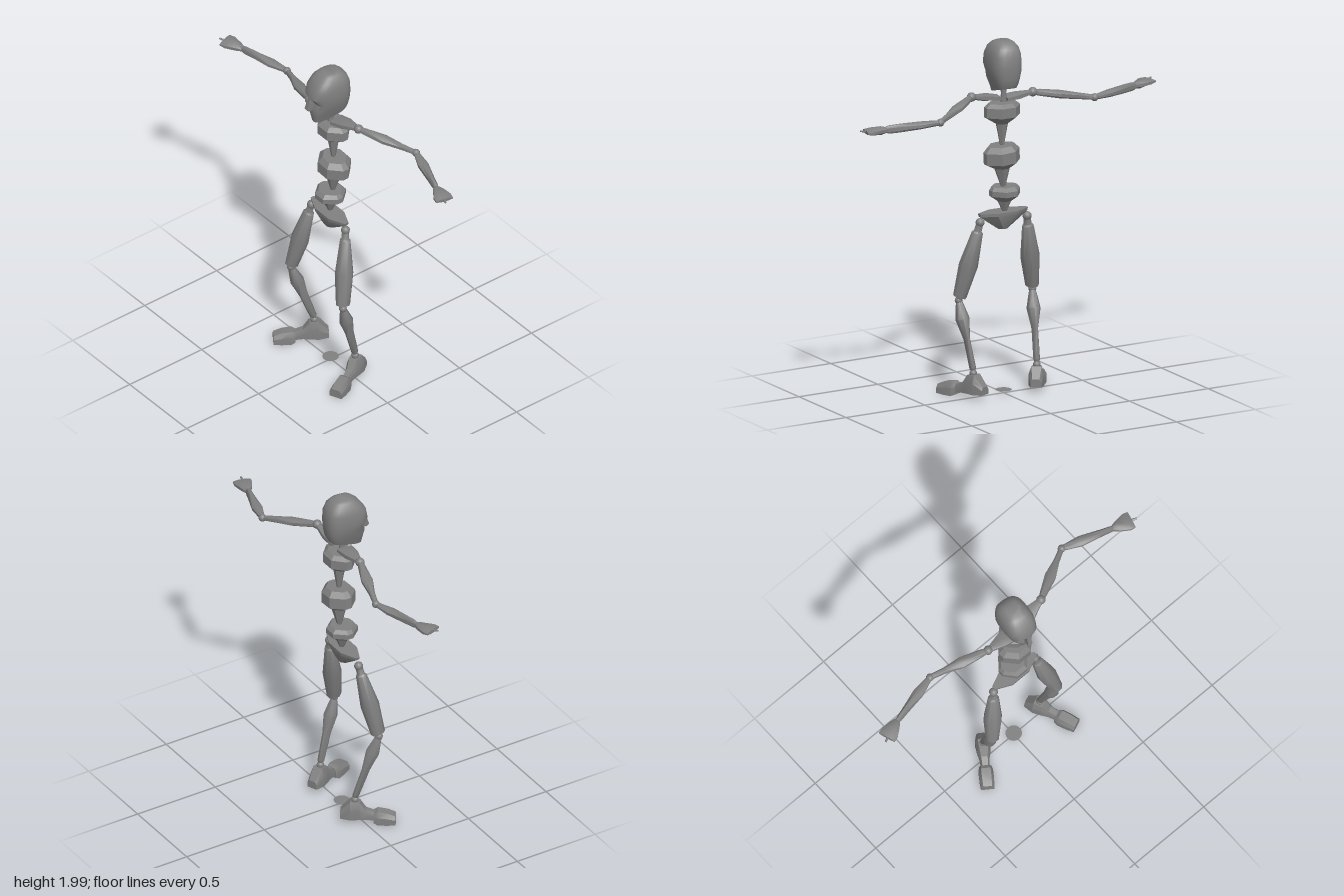
import * as THREE from 'three';
import { toCreasedNormals } from 'three/addons/utils/BufferGeometryUtils.js';

const V = (x, y, z) => new THREE.Vector3(x, y, z);
const grey = new THREE.MeshStandardMaterial({ color: 0x808080, side: THREE.DoubleSide });

// Closed skin through a stack of rings (each an array of points), capped at both ends
function loft(rings, crease = 0.45) {
  const n = rings[0].length, pos = [], idx = [];
  rings.forEach(r => r.forEach(p => pos.push(p.x, p.y, p.z)));
  for (let i = 0; i < rings.length - 1; i++) {
    for (let k = 0; k < n; k++) {
      const a = i * n + k, b = i * n + (k + 1) % n;
      idx.push(a, a + n, b, b, a + n, b + n);
    }
  }
  const top = (rings.length - 1) * n;
  for (let k = 1; k < n - 1; k++) {
    idx.push(0, k, k + 1, top, top + k + 1, top + k);
  }
  const g = new THREE.BufferGeometry();
  g.setAttribute('position', new THREE.Float32BufferAttribute(pos, 3));
  g.setIndex(idx);
  return toCreasedNormals(g, crease);
}

// Polygon ring with flat sides facing x and z; rx and rz are half extents
function ring(y, rx, rz, sides = 8, cz = 0) {
  const k = Math.cos(Math.PI / sides);
  return Array.from({ length: sides }, (_, i) => {
    const t = (i + 0.5) / sides * Math.PI * 2;
    return V(rx * Math.cos(t) / k, y, cz + rz * Math.sin(t) / k);
  });
}

// Eight-cornered ring with narrow ends, for the spine blocks and pelvis
const blockRing = ([y, w, d]) =>
  [[1, -0.22], [1, 0.22], [0.4, 1], [-0.4, 1], [-1, 0.22], [-1, -0.22], [-0.4, -1], [0.4, -1]]
    .map(([u, v]) => V(u * w, y, v * d));

function add(parent, name, geometry) {
  const m = new THREE.Mesh(geometry, grey);
  m.name = name;
  parent.add(m);
  return m;
}

// Limb segment from a to b; profile rows are [fraction, half width, half depth], ref is the depth axis
function bone(parent, name, a, b, ref, profile, sides = 8) {
  const d = b.clone().sub(a), len = d.length(), Y = d.normalize();
  const X = Y.clone().cross(ref).normalize(), Z = X.clone().cross(Y);
  const m = add(parent, name, loft(profile.map(([t, w, h]) => ring(t * len, w, h, sides)), 0.85));
  m.quaternion.setFromRotationMatrix(new THREE.Matrix4().makeBasis(X, Y, Z));
  m.position.copy(a);
}

function joint(parent, name, p, r) {
  add(parent, name, new THREE.SphereGeometry(r, 12, 8)).position.copy(p);
}

function makeHead() {
  const head = new THREE.Group();
  head.name = 'head';
  const soft = (v, e) => Math.sign(v) * Math.abs(v) ** e;
  const mix = THREE.MathUtils.lerp;
  // front y, back y, front z, back z, front half width, back half width
  const rows = [
    [1.692, 1.745, 0.112, -0.082, 0.036, 0.064],
    [1.73, 1.765, 0.12, -0.092, 0.048, 0.073],
    [1.785, 1.80, 0.126, -0.099, 0.072, 0.082],
    [1.822, 1.83, 0.111, -0.102, 0.085, 0.086],
    [1.866, 1.866, 0.14, -0.104, 0.09, 0.09],
    [1.92, 1.925, 0.13, -0.1, 0.087, 0.088],
    [1.965, 1.965, 0.098, -0.085, 0.078, 0.075],
    [1.99, 1.99, 0.068, -0.06, 0.058, 0.055],
    [2.0, 2.0, 0.045, -0.038, 0.038, 0.038]];
  add(head, 'skull', loft(rows.map(([yf, yb, zf, zb, wf, wb]) =>
    Array.from({ length: 24 }, (_, i) => {
      const t = i / 24 * Math.PI * 2, v = (1 + soft(Math.sin(t), 0.72)) / 2;
      return V(soft(Math.cos(t), 0.66) * mix(wb, wf, v), mix(yb, yf, v), mix(zb, zf, v));
    })), 0.65));
  add(head, 'nose', loft([ring(1.78, 0.012, 0.018, 4, 0.128),
    ring(1.792, 0.015, 0.025, 4, 0.134), ring(1.865, 0.009, 0.02, 4, 0.119)]));
  head.rotation.y = -0.1;
  return head;
}

// Foot pointing along +z from the ankle; rows are [z, half width, bottom, top]
function makeFoot(x, z, yaw) {
  const foot = new THREE.Group();
  foot.name = 'foot';
  const section = ([s, w, y0, y1]) =>
    [[-0.65, 1], [-1, 0.6], [-1, 0], [1, 0], [1, 0.6], [0.65, 1]]
      .map(([u, v]) => V(u * w, y0 + v * (y1 - y0), s));
  add(foot, 'heel', loft([[-0.08, 0.03, 0.04, 0.085], [-0.025, 0.043, 0.038, 0.145],
    [0.025, 0.036, 0.038, 0.14], [0.06, 0.027, 0.035, 0.092], [0.13, 0.022, 0.025, 0.068]].map(section)));
  add(foot, 'toes', loft([[0.103, 0.033, 0.018, 0.075], [0.125, 0.04, 0.008, 0.086],
    [0.18, 0.04, 0.008, 0.077], [0.223, 0.037, 0.01, 0.06]].map(section)));
  foot.position.set(x, 0, z);
  foot.rotation.y = yaw;
  return foot;
}

export function createModel() {
  const model = new THREE.Group();
  model.name = 'mannequin';
  model.add(makeHead());
  add(model, 'neck', loft([ring(1.63, 0.02, 0.02), ring(1.70, 0.013, 0.013), ring(1.77, 0.022, 0.022)]));

  // Spine blocks: drum tapering into a spike; rows are [y, half width, half depth]
  const blocks = [
    ['chest', 0.015, -0.008, 0, [[1.41, 0.011, 0.012], [1.535, 0.035, 0.03], [1.58, 0.105, 0.078], [1.635, 0.105, 0.078], [1.655, 0.08, 0.055]]],
    ['ribs', 0.008, -0.01, -0.06, [[1.175, 0.012, 0.012], [1.285, 0.045, 0.04], [1.32, 0.104, 0.083], [1.385, 0.104, 0.083], [1.415, 0.076, 0.06]]],
    ['waist', -0.005, -0.002, 0, [[1.035, 0.013, 0.013], [1.095, 0.04, 0.035], [1.13, 0.088, 0.08], [1.16, 0.088, 0.08], [1.18, 0.074, 0.06]]]];
  for (const [name, x, z, tilt, rows] of blocks) {
    const base = rows[0][0];
    const m = add(model, name, loft(rows.map(([y, w, d]) => blockRing([y - base, w, d]))));
    m.position.set(x, base, z);
    m.rotation.z = tilt;
  }

  // Pelvis: pointed bar narrowing to a blunt tip
  add(model, 'pelvis', loft([[0.937, 0.03, 0.022], [0.965, 0.07, 0.035],
    [1.02, 0.147, 0.053], [1.037, 0.152, 0.053]].map(blockRing))).position.z = 0.007;

  // Legs
  const front = V(0, 0, 1), up = V(0, 1, 0);
  const legs = [
    ['right', V(-0.155, 0.985, 0.01), V(-0.236, 0.545, 0.09), V(-0.19, 0.165, -0.035), -0.61],
    ['left', V(0.143, 0.988, 0.01), V(0.228, 0.54, 0.095), V(0.2, 0.165, -0.012), 0.4]];
  for (const [side, hip, knee, ankle, yaw] of legs) {
    const leg = new THREE.Group();
    leg.name = side + 'Leg';
    joint(leg, 'hipJoint', hip, 0.025);
    bone(leg, 'thigh', hip, knee, front, [[0, 0.018, 0.018], [0.11, 0.02, 0.02], [0.13, 0.03, 0.027],
      [0.55, 0.05, 0.048], [0.95, 0.034, 0.038], [0.96, 0.018, 0.02], [1, 0.014, 0.016]]);
    joint(leg, 'kneeJoint', knee, 0.022);
    bone(leg, 'shin', knee, ankle, front, [[0, 0.014, 0.015], [0.08, 0.022, 0.022], [0.27, 0.036, 0.036],
      [0.55, 0.015, 0.024], [0.97, 0.017, 0.018], [1, 0.012, 0.012]]);
    joint(leg, 'ankleJoint', V(ankle.x, 0.15, ankle.z), 0.021);
    leg.add(makeFoot(ankle.x, ankle.z, yaw));
    model.add(leg);
  }

  // Arms
  const arms = [
    ['right', V(-0.01, 1.67, 0.01), V(-0.185, 1.683, 0), V(-0.515, 1.63, -0.105), V(-0.82, 1.636, -0.03), V(-0.925, 1.646, 0.005), V(-0.948, 1.652, 0.022)],
    ['left', V(0.045, 1.685, 0), V(0.217, 1.714, -0.022), V(0.513, 1.65, -0.188), V(0.81, 1.628, -0.095), V(0.915, 1.625, -0.068), V(0.942, 1.63, -0.055)]];
  for (const [side, inner, shoulder, elbow, wrist, hand, tip] of arms) {
    const arm = new THREE.Group();
    arm.name = side + 'Arm';
    bone(arm, 'collarBone', inner, shoulder, up, [[0, 0.045, 0.014], [0.45, 0.04, 0.02], [0.85, 0.02, 0.014], [1, 0.014, 0.012]], 6);
    joint(arm, 'shoulderJoint', shoulder, 0.026);
    bone(arm, 'upperArm', shoulder, elbow, up, [[0, 0.014, 0.014], [0.12, 0.02, 0.018], [0.45, 0.031, 0.021],
      [0.75, 0.016, 0.017], [1, 0.014, 0.013]]);
    joint(arm, 'elbowJoint', elbow, 0.022);
    bone(arm, 'forearm', elbow, wrist, up, [[0, 0.014, 0.013], [0.1, 0.018, 0.015], [0.35, 0.029, 0.019],
      [0.75, 0.018, 0.023], [0.93, 0.015, 0.022], [1, 0.012, 0.014]]);
    bone(arm, 'hand', wrist, hand, up, [[-0.1, 0.014, 0.014], [0.2, 0.03, 0.021], [0.7, 0.05, 0.018], [1, 0.05, 0.01]]);
    bone(arm, 'finger', hand.clone().lerp(wrist, 0.3), tip, up, [[0, 0.008, 0.007], [1, 0.005, 0.004]], 6);
    model.add(arm);
  }

  // Small marker disc near the floor
  const disc = add(model, 'floorDisc', new THREE.CircleGeometry(0.045, 24));
  disc.rotation.x = -Math.PI / 2;
  disc.position.y = 0.027;
  return model;
}
